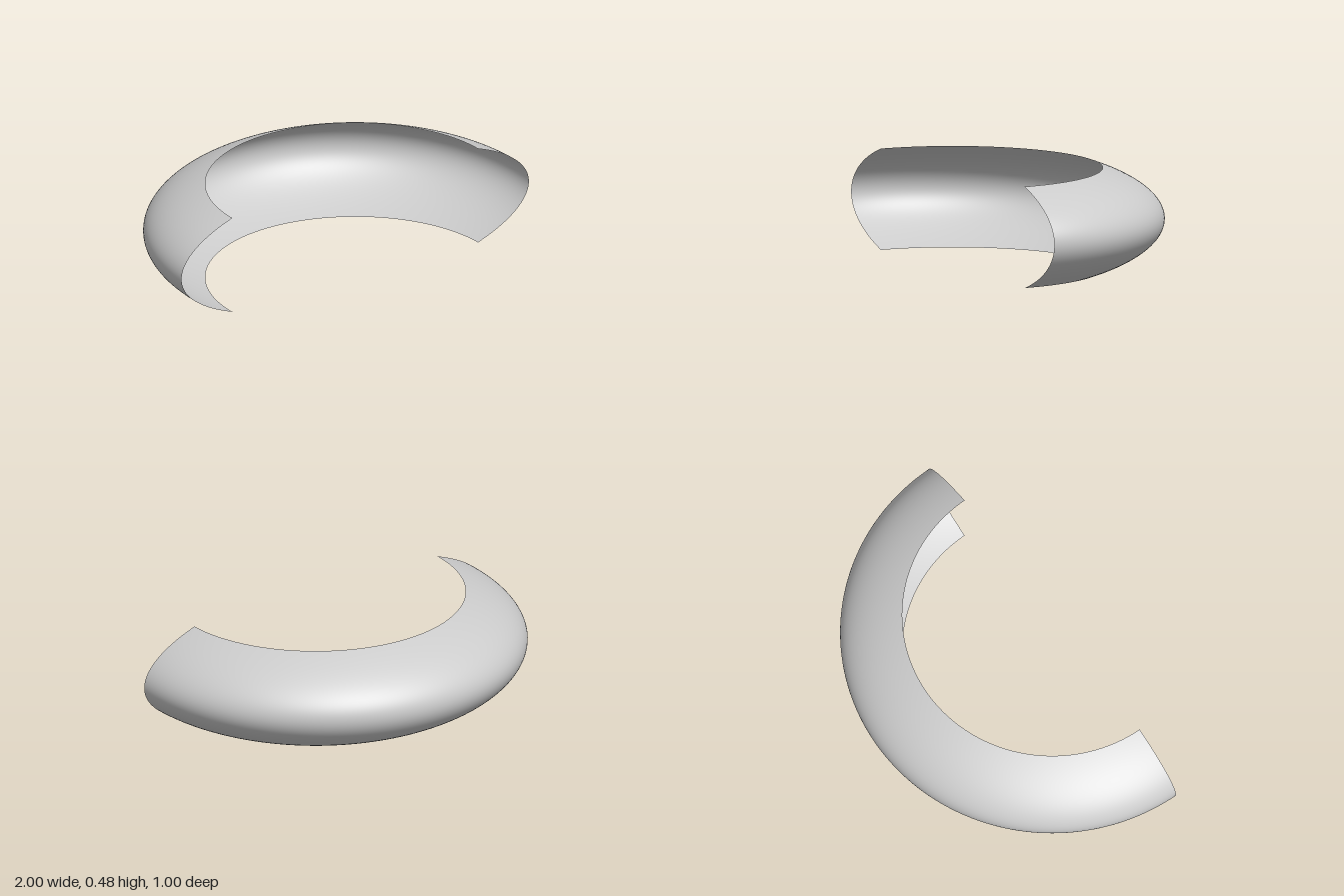
import * as THREE from 'three';

const HALF_HEIGHT = 0.2415;

export function createModel() {
  const group = new THREE.Group();
  group.name = 'curvedBand';

  // Thin half-round band: the middle belt of a flattened sphere, open to the front
  const belt = new THREE.SphereGeometry(1, 96, 48, Math.PI, Math.PI, Math.PI / 4, Math.PI / 2);
  belt.scale(1, HALF_HEIGHT / Math.cos(Math.PI / 4), 1);
  belt.translate(0, HALF_HEIGHT, 0.5);

  const material = new THREE.MeshStandardMaterial({ color: 0xcccccc, side: THREE.DoubleSide });
  const shell = new THREE.Mesh(belt, material);
  shell.name = 'bandShell';
  group.add(shell);
  return group;
}
